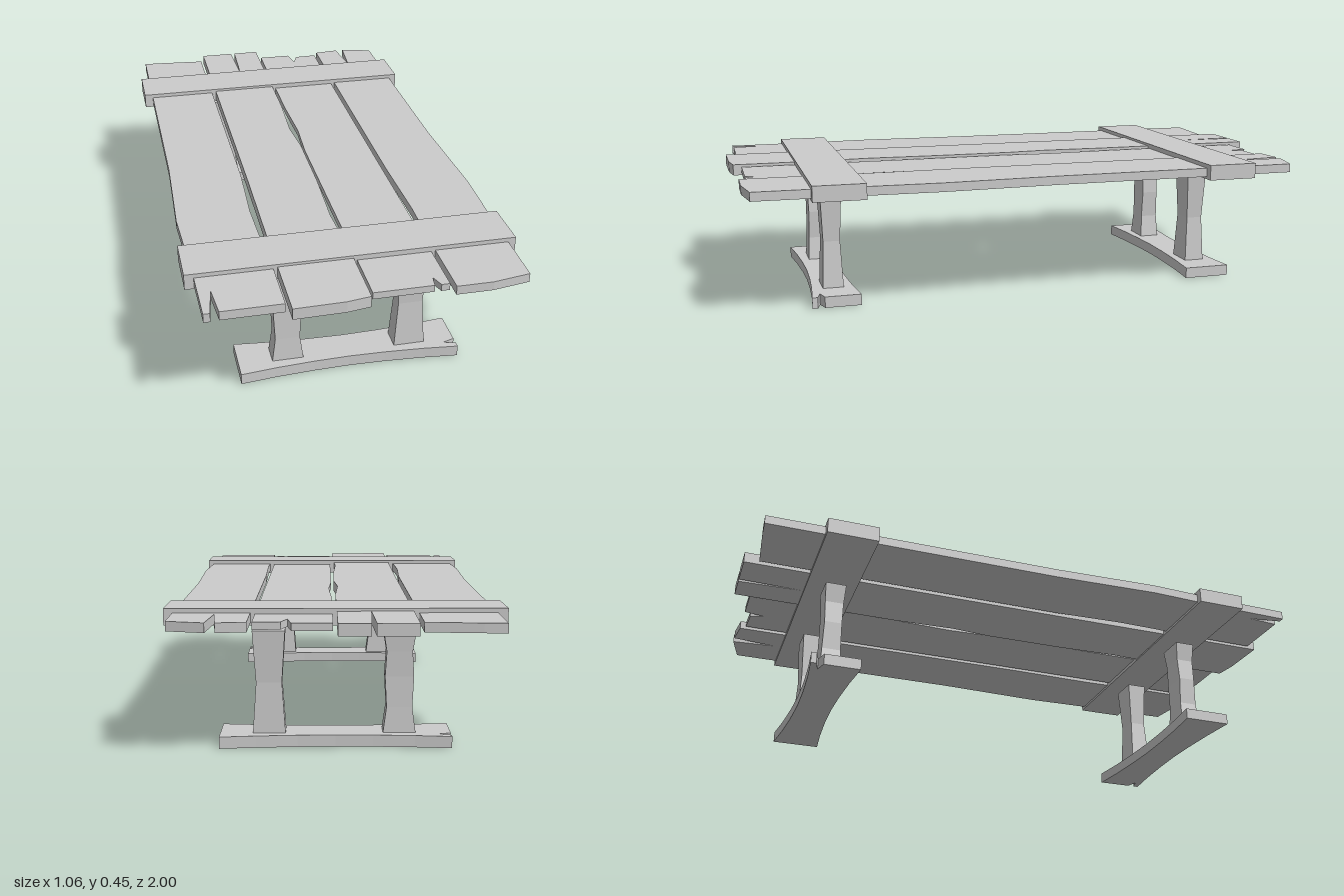
import * as THREE from 'three';

const material = new THREE.MeshStandardMaterial({ color: 0xcccccc, flatShading: true });

// Board with a plan outline of [x, z] points, between two heights
function board(name, outline, bottom, top) {
  const shape = new THREE.Shape(outline.map(([x, z]) => new THREE.Vector2(x, z)));
  const geometry = new THREE.ExtrudeGeometry(shape, { depth: top - bottom, bevelEnabled: false });
  geometry.rotateX(Math.PI / 2).translate(0, top, 0);
  const mesh = new THREE.Mesh(geometry, material);
  mesh.name = name;
  return mesh;
}

// Square post whose rows are [y, half width, half depth], bottom to top
function post(name, x, z, rows) {
  const n = rows.length - 1;
  const geometry = new THREE.BoxGeometry(2, 1, 2, 1, n, 1);
  const p = geometry.attributes.position;
  for (let i = 0; i < p.count; i++) {
    const [y, w, d] = rows[Math.round((p.getY(i) + 0.5) * n)];
    p.setXYZ(i, p.getX(i) * w, y, p.getZ(i) * d);
  }
  geometry.computeVertexNormals();
  const mesh = new THREE.Mesh(geometry, material);
  mesh.name = name;
  mesh.position.set(x, 0, z);
  return mesh;
}

// Worn planks with split ends
const planks = [
  { bottom: 0.403, top: 0.433, outline: [
    [-0.5, -0.97], [-0.43, -0.966], [-0.257, -0.95], [-0.257, 0.15], [-0.268, 0.4], [-0.265, 0.55],
    [-0.257, 0.7], [-0.257, 0.962], [-0.453, 0.962], [-0.462, 0.85], [-0.479, 0.965], [-0.5, 0.965],
    [-0.503, 0.75], [-0.517, 0.42], [-0.503, 0.05]] },
  { bottom: 0.4, top: 0.438, outline: [
    [-0.241, -1], [-0.116, -1], [-0.11, -0.78], [-0.101, -1], [-0.003, -1], [-0.003, -0.4],
    [-0.013, -0.18], [-0.001, -0.03], [-0.003, 0.25], [-0.013, 0.5], [-0.003, 0.72], [-0.003, 0.985],
    [-0.08, 0.997], [-0.244, 1], [-0.244, 0.6], [-0.241, 0.2]] },
  { bottom: 0.407, top: 0.43, outline: [
    [0.01, -0.945], [0.133, -0.945], [0.146, -0.87], [0.165, -0.922], [0.249, -0.925], [0.249, 0.957],
    [0.222, 0.957], [0.207, 0.915], [0.201, 0.957], [0.008, 0.957], [0.008, 0], [0.018, -0.18], [0.01, -0.4]] },
  { bottom: 0.403, top: 0.433, outline: [
    [0.263, -0.945], [0.355, -0.955], [0.372, -0.8], [0.386, -0.955], [0.503, -0.925], [0.503, -0.05],
    [0.517, 0.35], [0.508, 0.65], [0.503, 0.96], [0.38, 0.98], [0.262, 0.98], [0.262, 0.75],
    [0.268, 0.5], [0.262, 0.2]] },
];

// Foot, waisted along its length, with a split at one end
const foot = [
  [-0.367, -0.083], [-0.25, -0.071], [-0.12, -0.063], [0, -0.06], [0.12, -0.063], [0.25, -0.071],
  [0.367, -0.083], [0.367, 0.04], [0.325, 0.052], [0.367, 0.064], [0.367, 0.083],
  [0.25, 0.071], [0.12, 0.063], [0, 0.06], [-0.12, 0.063], [-0.25, 0.071], [-0.367, 0.083],
];

const leftRows = [
  [0.038, 0.052, 0.036], [0.12, 0.041, 0.032], [0.22, 0.046, 0.03], [0.3, 0.041, 0.032], [0.368, 0.052, 0.036]];
const rightRows = [[0.038, 0.052, 0.036], [0.2, 0.041, 0.029], [0.368, 0.052, 0.036]];

export function createModel() {
  const group = new THREE.Group();
  group.name = 'plankTable';

  planks.forEach(({ outline, bottom, top }, i) => group.add(board(`plank${i + 1}`, outline, bottom, top)));

  for (const side of [1, -1]) {
    const end = side > 0 ? 'front' : 'back';

    // Cross batten clasping the planks
    const batten = new THREE.Mesh(new THREE.BoxGeometry(1.063, 0.053, 0.173), material);
    batten.name = `${end}Batten`;
    batten.position.set(-0.001, 0.4205, side * 0.685);
    group.add(batten);

    // Trestle: two posts on a foot, the foot turned round at the back
    group.add(post(`${end}RightLeg`, -0.203, side * 0.681, leftRows));
    group.add(post(`${end}LeftLeg`, 0.211, side * 0.681, rightRows));
    const base = board(`${end}Foot`, foot, 0, 0.038);
    base.position.z = side * 0.683;
    if (side < 0) base.rotation.y = Math.PI;
    group.add(base);
  }
  return group;
}
